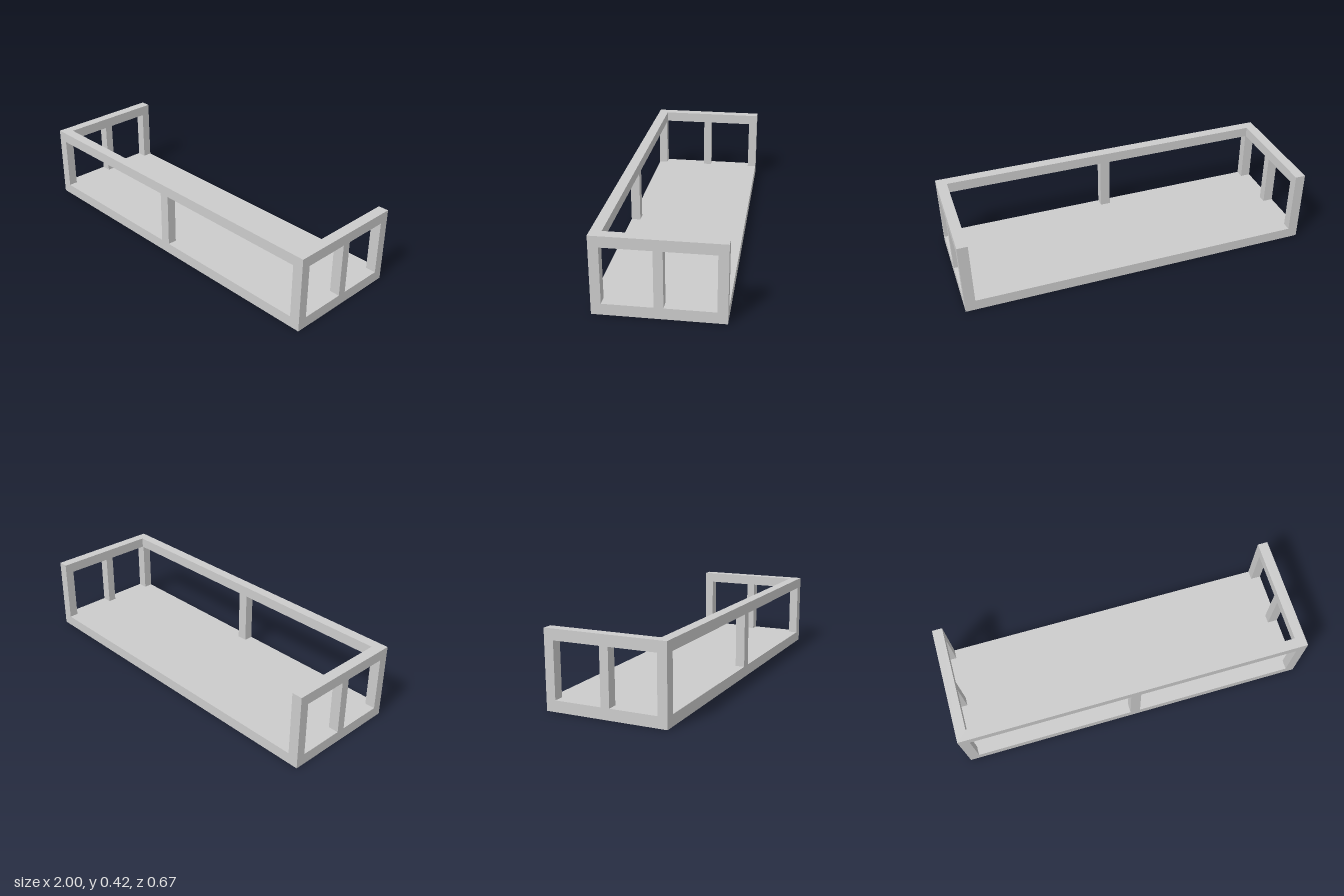
import * as THREE from 'three';

const W = 1, D = 0.335, H = 0.424;      // half width, half depth, full height
const FLOOR = 0.061, RAIL = 0.365;      // top of floor, underside of rail
const BAR = 0.058, POST_D = 0.052;      // bar width along x, post depth along z

export function createModel() {
  const group = new THREE.Group();
  const material = new THREE.MeshStandardMaterial({ color: 0xcccccc, flatShading: true });

  const add = (name, geometry, x, y, z) => {
    const mesh = new THREE.Mesh(geometry, material);
    mesh.name = name;
    mesh.position.set(x, y, z);
    group.add(mesh);
  };

  // Solid floor slab
  add('floor', new THREE.BoxGeometry(2 * W, FLOOR, 2 * D), 0, FLOOR / 2, 0);

  // U-shaped top rail, open at the back (shape y becomes -z)
  const outline = [
    [-W, -D], [W, -D], [W, D], [W - BAR, D],
    [W - BAR, -D + BAR], [-W + BAR, -D + BAR], [-W + BAR, D], [-W, D],
  ].map(([x, y]) => new THREE.Vector2(x, y));
  const rail = new THREE.ExtrudeGeometry(new THREE.Shape(outline), { depth: H - RAIL, bevelEnabled: false });
  rail.rotateX(-Math.PI / 2);
  add('topRail', rail, 0, RAIL, 0);

  // Upright posts between floor and rail
  const addPost = (name, x, z, width, depth) =>
    add(name, new THREE.BoxGeometry(width, RAIL - FLOOR, depth), x, (RAIL + FLOOR) / 2, z);

  for (const [side, s] of [['left', 1], ['right', -1]]) {
    const x = s * (W - BAR / 2);
    addPost(side + 'FrontPost', x, D - POST_D / 2, BAR, POST_D);
    addPost(side + 'MiddlePost', x, 0, BAR, 0.048);
    addPost(side + 'BackPost', x, -D + POST_D / 2, BAR, POST_D);
  }
  addPost('frontMiddlePost', 0, D - POST_D / 2, BAR, POST_D);

  return group;
}
